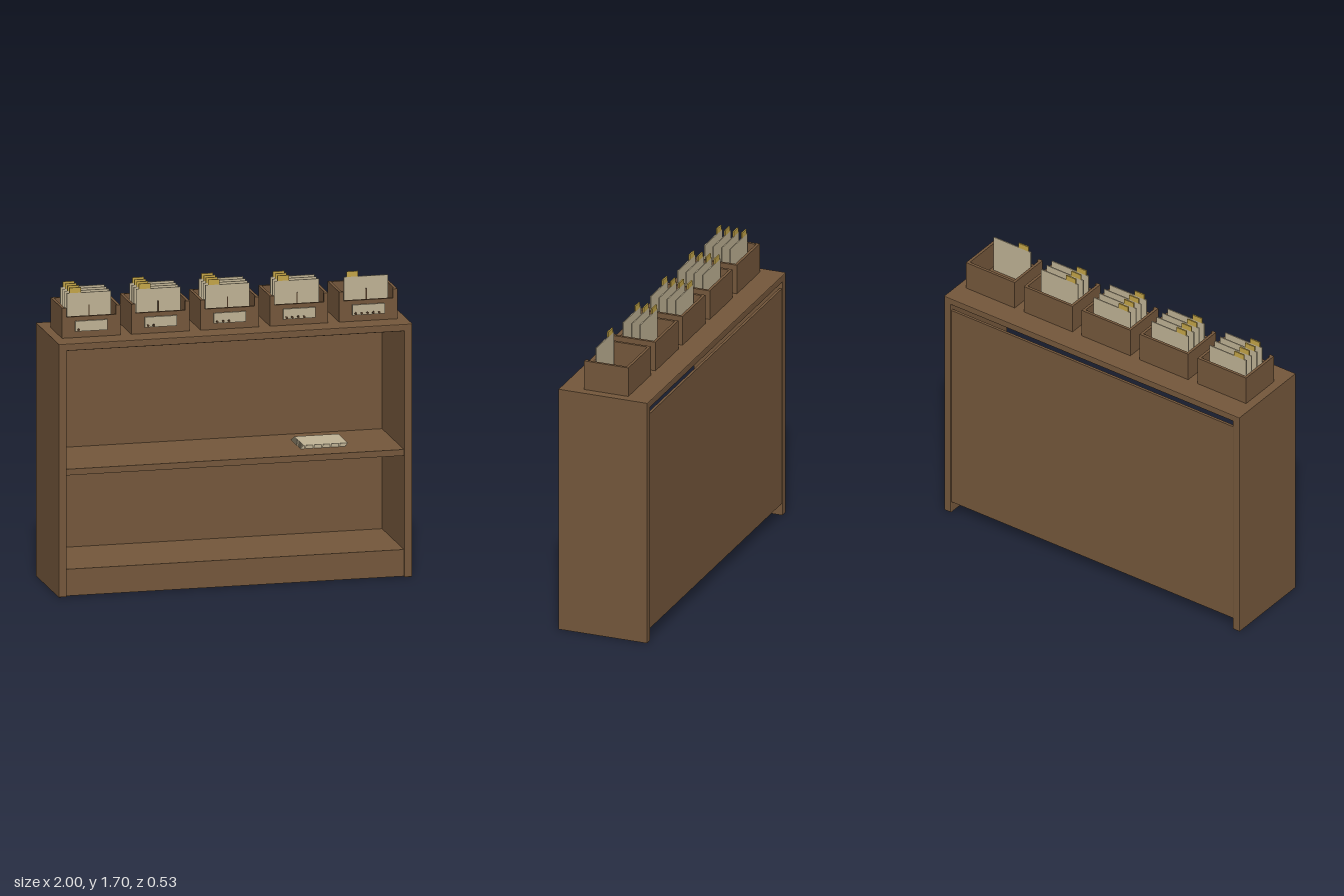
import * as THREE from 'three';

const mat = (name, color) => Object.assign(new THREE.MeshStandardMaterial({ color }), { name });
const wood = mat('brown wood', 0x74573b);
const paper = mat('cream paper', 0xbfb294);
const gold = mat('gold tab', 0xc4a548);
const dark = mat('dark brown', 0x4a3624);

function add(parent, name, geometry, material, x = 0, y = 0, z = 0) {
  const mesh = new THREE.Mesh(geometry, material);
  mesh.name = name;
  mesh.position.set(x, y, z);
  parent.add(mesh);
  return mesh;
}

// Box given by its lower and upper corners
function block(parent, name, material, [x0, y0, z0], [x1, y1, z1]) {
  return add(parent, name, new THREE.BoxGeometry(x1 - x0, y1 - y0, z1 - z0), material,
    (x0 + x1) / 2, (y0 + y1) / 2, (z0 + z1) / 2);
}

const polygon = (points) => new THREE.Shape(points.map(([x, y]) => new THREE.Vector2(x, y)));

// Open cabinet: bevelled outer frame, shelves, kickboard and back
function makeCabinet() {
  const g = new THREE.Group();
  g.name = 'cabinet';
  const outline = polygon([[-1, 0], [-0.955, 0], [-0.955, 1.39], [0.955, 1.39],
    [0.955, 0], [1, 0], [1, 1.43], [-1, 1.43]]);
  const b = 0.005;
  const frame = new THREE.ExtrudeGeometry(outline, {
    depth: 0.53 - 2 * b, bevelEnabled: true, bevelThickness: b, bevelSize: b, bevelOffset: -b, bevelSegments: 2,
  });
  add(g, 'outerFrame', frame, wood, 0, 0, -0.265 + b);
  block(g, 'lowerShelf', wood, [-0.955, 0.12, -0.245], [0.955, 0.155, 0.255]);
  block(g, 'middleShelf', wood, [-0.955, 0.685, -0.245], [0.955, 0.72, 0.255]);
  block(g, 'kickboard', wood, [-0.955, 0.003, 0.22], [0.955, 0.12, 0.25]);
  block(g, 'backPanel', wood, [-0.955, 0.07, -0.26], [0.955, 1.35, -0.245]);
  return g;
}

// Index card with a raised tab and a thin dark slot line
function makeCard(z) {
  const g = new THREE.Group();
  g.name = 'indexCard';
  block(g, 'cardSheet', paper, [-0.125, 0.02, -0.003], [0.125, 0.24, 0.003]);
  block(g, 'cardTab', gold, [-0.11, 0.24, -0.004], [-0.045, 0.27, 0.004]);
  block(g, 'cardLine', dark, [-0.003, 0.08, 0.003], [0.003, 0.17, 0.007]);
  g.position.z = z;
  return g;
}

// Open card box with a notched front, a label and counting dots
function makeCardBox(dots, cardDepths) {
  const g = new THREE.Group();
  g.name = 'cardBox';
  const t = 0.016, w = 0.165, h = 0.17, d = 0.131;
  block(g, 'boxFloor', wood, [-w + t, 0, -d + t], [w - t, t, d - t]);
  block(g, 'boxBack', wood, [-w + t, 0, -d], [w - t, h, -d + t]);
  for (const s of [-1, 1]) {
    add(g, 'boxSide', new THREE.BoxGeometry(t, h, 2 * d), wood, s * (w - t / 2), h / 2, 0);
  }
  const o = w - t, n = 0.14, low = 0.118;
  const front = polygon([[-o, 0], [o, 0], [o, h], [n, h], [n, low], [-n, low], [-n, h], [-o, h]]);
  add(g, 'boxFront', new THREE.ExtrudeGeometry(front, { depth: t, bevelEnabled: false }), wood, 0, 0, d - t);

  block(g, 'boxLabel', paper, [-0.091, 0.036, d], [0.091, 0.094, d + 0.009]);
  const dotGeometry = new THREE.CylinderGeometry(0.007, 0.007, 0.006, 12).rotateX(Math.PI / 2);
  for (let i = 0; i < dots; i++) {
    add(g, 'labelDot', dotGeometry, dark, -0.073 + i * 0.033, 0.046, d + 0.011);
  }
  for (const z of cardDepths) g.add(makeCard(z));
  return g;
}

export function createModel() {
  const model = new THREE.Group();
  model.name = 'cardCabinet';
  model.add(makeCabinet());

  // Row of card boxes on top, emptying towards the last
  const depths = [0.077, 0.027, -0.022, -0.072];
  [4, 4, 4, 3, 1].forEach((count, i) => {
    const box = makeCardBox(i + 1, depths.slice(0, count));
    box.position.set((i - 2) * 0.392, 1.43, 0);
    model.add(box);
  });

  // Slightly fanned stack of loose sheets on the middle shelf
  const stack = new THREE.Group();
  stack.name = 'paperStack';
  const sheet = new THREE.BoxGeometry(0.25, 0.0024, 0.215);
  for (let i = 0; i < 7; i++) {
    add(stack, 'looseSheet', sheet, paper, 0.532 + i * 0.0028, 0.7215 + i * 0.0028, 0);
  }
  model.add(stack);
  return model;
}
